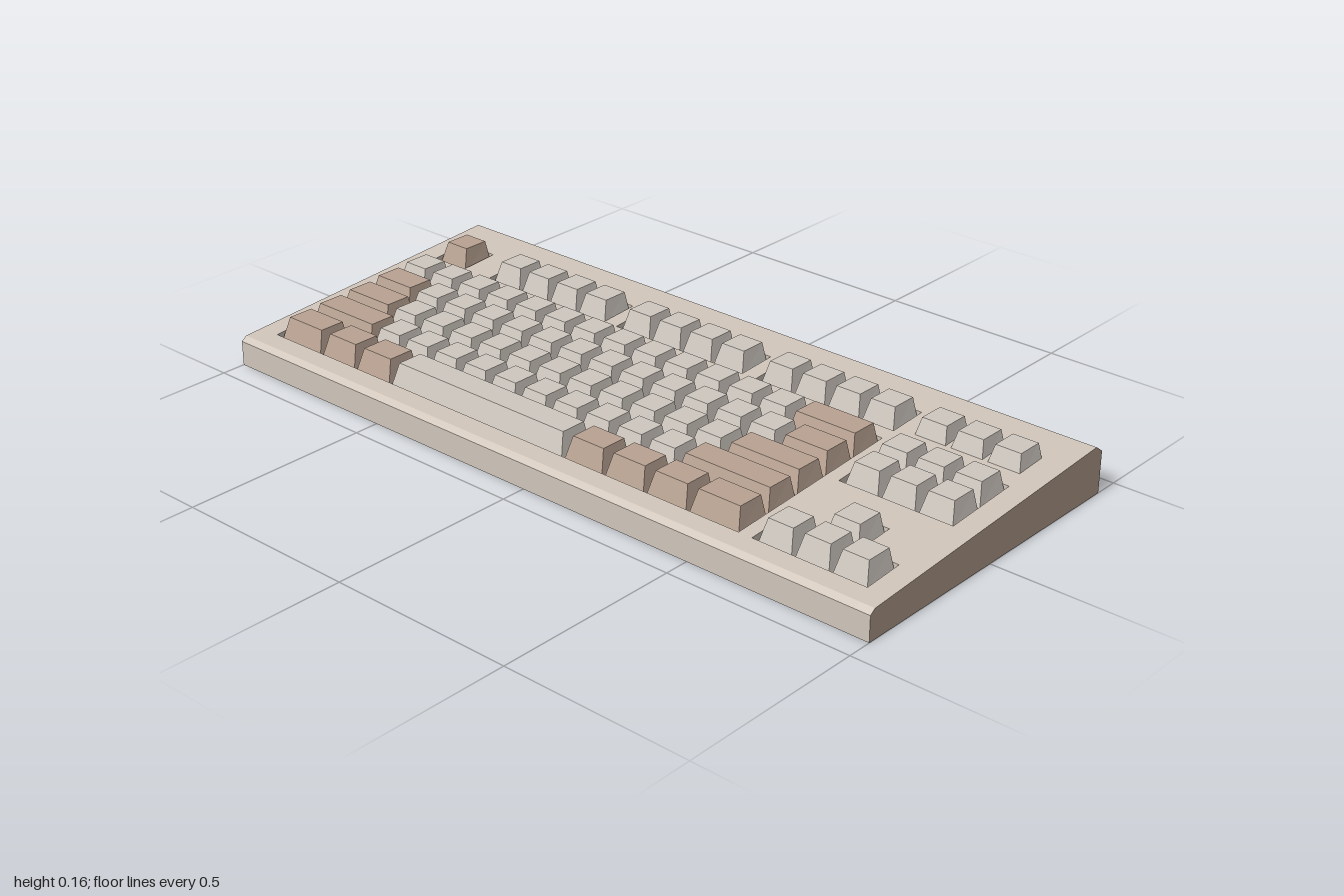
import * as THREE from 'three';

const U = 0.1015;      // key pitch
const Z0 = -0.936;     // first column edge
const X0 = -0.313;     // centre of the lowest row
const NAV = 15.45;     // column where the side cluster starts
const DEPTH = 0.022;   // well depth
const MARGIN = 0.004;  // gap between keys and well walls
const END = 0.04;      // thickness of the end slabs

const surfaceY = (x) => 0.077 + (x + 0.42) * (0.051 / 0.83);
const colZ = (u) => Z0 + u * U;
const rowX = (r) => X0 + r * U;

function material(name, color) {
  const m = new THREE.MeshStandardMaterial({ color });
  m.name = name;
  return m;
}

function mesh(name, geometry, mat) {
  const m = new THREE.Mesh(geometry, mat);
  m.name = name;
  return m;
}

function polygon(points) {
  return new THREE.Shape(points.map(([x, y]) => new THREE.Vector2(x, y)));
}

// Profile of the case, extruded along z
function slab(points, z, depth) {
  const g = new THREE.ExtrudeGeometry(polygon(points), { depth, bevelEnabled: false });
  return g.translate(0, 0, z);
}

// Rectangular well around a block of cells; shape y is -z
function well(r0, r1, u0, u1) {
  const xa = rowX(r0 - 0.5) - MARGIN, xb = rowX(r1 + 0.5) + MARGIN;
  const za = colZ(u0) - MARGIN, zb = colZ(u1) + MARGIN;
  return [[xa, -za], [xb, -za], [xb, -zb], [xa, -zb]];
}

// Tapered keycap leaning to +x, with a level top and its foot on the well floor
function keycap(row, u, width, top) {
  const g = new THREE.BoxGeometry(1, 1, 1).toNonIndexed();
  const p = g.attributes.position;
  const cx = rowX(row), cz = colZ(u + width / 2), half = (width * U) / 2;
  for (let i = 0; i < p.count; i++) {
    const up = p.getY(i) > 0, right = p.getX(i) > 0;
    const x = cx + (up ? (right ? 0.045 : -0.025) : (right ? 0.0515 : -0.046));
    const z = cz + Math.sign(p.getZ(i)) * (half - (up ? 0.016 : 0.003));
    p.setXYZ(i, x, up ? top : surfaceY(x) - DEPTH, z);
  }
  g.computeVertexNormals();
  return g;
}

export function createModel() {
  const caseMat = material('case beige', 0xd0c5ba);
  const keyMat = material('key light grey', 0xcec7bf);
  const brownMat = material('accent brown', 0xb8a292);

  const group = new THREE.Group();
  group.name = 'keyboard';

  // Case: end slabs with brown outer faces
  const outline = [[-0.435, 0], [0.435, 0], [0.435, 0.11], [0.41, 0.128], [-0.42, 0.077], [-0.435, 0.066]];
  for (const [name, z] of [['frontEnd', 1 - END], ['backEnd', -1]]) {
    group.add(mesh(name, slab(outline, z, END), [brownMat, caseMat]));
  }

  // Case: tray whose floor lies below the top plate
  const tray = [[-0.435, 0], [0.435, 0], [0.435, 0.11], [0.41, 0.128], [0.41, 0.128 - DEPTH],
    [-0.42, 0.077 - DEPTH], [-0.42, 0.077], [-0.435, 0.066]];
  group.add(mesh('tray', slab(tray, -1 + END, 2 - 2 * END), caseMat));

  // Top plate with a well for each key cluster
  const e = 1 - END;
  const plate = polygon([[-0.42, -e], [0.41, -e], [0.41, e], [-0.42, e]]);
  const arrows = well(0, 0, NAV, NAV + 3), up = well(1, 1, NAV + 1, NAV + 2);
  const inner = arrows[1][0];
  const arrowWell = [arrows[0], arrows[1], [inner, up[0][1]], up[1], up[2], [inner, up[2][1]], arrows[2], arrows[3]];
  const wells = [
    well(0, 4, 0, 15), well(3, 4, NAV, NAV + 3), arrowWell, well(5.5, 5.5, 0, 1),
    well(5.5, 5.5, 2, 6), well(5.5, 5.5, 6.5, 10.5), well(5.5, 5.5, 11, 15),
  ];
  for (const w of wells) plate.holes.push(new THREE.Path(polygon(w).getPoints()));
  const plateGeo = new THREE.ExtrudeGeometry(plate, { depth: DEPTH, bevelEnabled: false });
  plateGeo.rotateX(-Math.PI / 2);
  const pos = plateGeo.attributes.position;
  for (let i = 0; i < pos.count; i++) pos.setY(i, pos.getY(i) + surfaceY(pos.getX(i)) - DEPTH);
  plateGeo.computeVertexNormals();
  group.add(mesh('topPlate', plateGeo, caseMat));

  // Keys: runs of [start, width, count, brown] per row
  const rows = [
    { row: 0, top: 0.125, runs: [[0, 1.5, 1, 1], [1.5, 1.25, 2, 1], [4, 5.75, 1, 0], [9.75, 1.25, 3, 1], [13.5, 1.5, 1, 1], [NAV, 1, 3, 0]] },
    { row: 1, top: 0.13, runs: [[0, 2.25, 1, 1], [2.25, 1, 10, 0], [12.25, 2.75, 1, 1], [NAV + 1, 1, 1, 0]] },
    { row: 2, top: 0.135, runs: [[0, 1.75, 1, 1], [1.75, 1, 11, 0], [12.75, 2.25, 1, 1]] },
    { row: 3, top: 0.142, runs: [[0, 1.5, 1, 1], [1.5, 1, 12, 0], [13.5, 1.5, 1, 1], [NAV, 1, 3, 0]] },
    { row: 4, top: 0.148, runs: [[0, 1, 13, 0], [13, 2, 1, 1], [NAV, 1, 3, 0]] },
    { row: 5.5, top: 0.158, runs: [[0, 1, 1, 1], [2, 1, 4, 0], [6.5, 1, 4, 0], [11, 1, 4, 0], [NAV, 1, 3, 0]] },
  ];
  // Well for the three keys at the end of the top row is part of the plate below
  rows.forEach(({ row, top, runs }, n) => {
    const keys = new THREE.Group();
    keys.name = 'keyRow' + (n + 1);
    for (const [start, width, count, brown] of runs) {
      for (let i = 0; i < count; i++) {
        const name = width > 5 ? 'spaceBar' : brown ? 'accentKey' : 'key';
        keys.add(mesh(name, keycap(row, start + i * width, width, top), brown ? brownMat : keyMat));
      }
    }
    group.add(keys);
  });
  return group;
}
